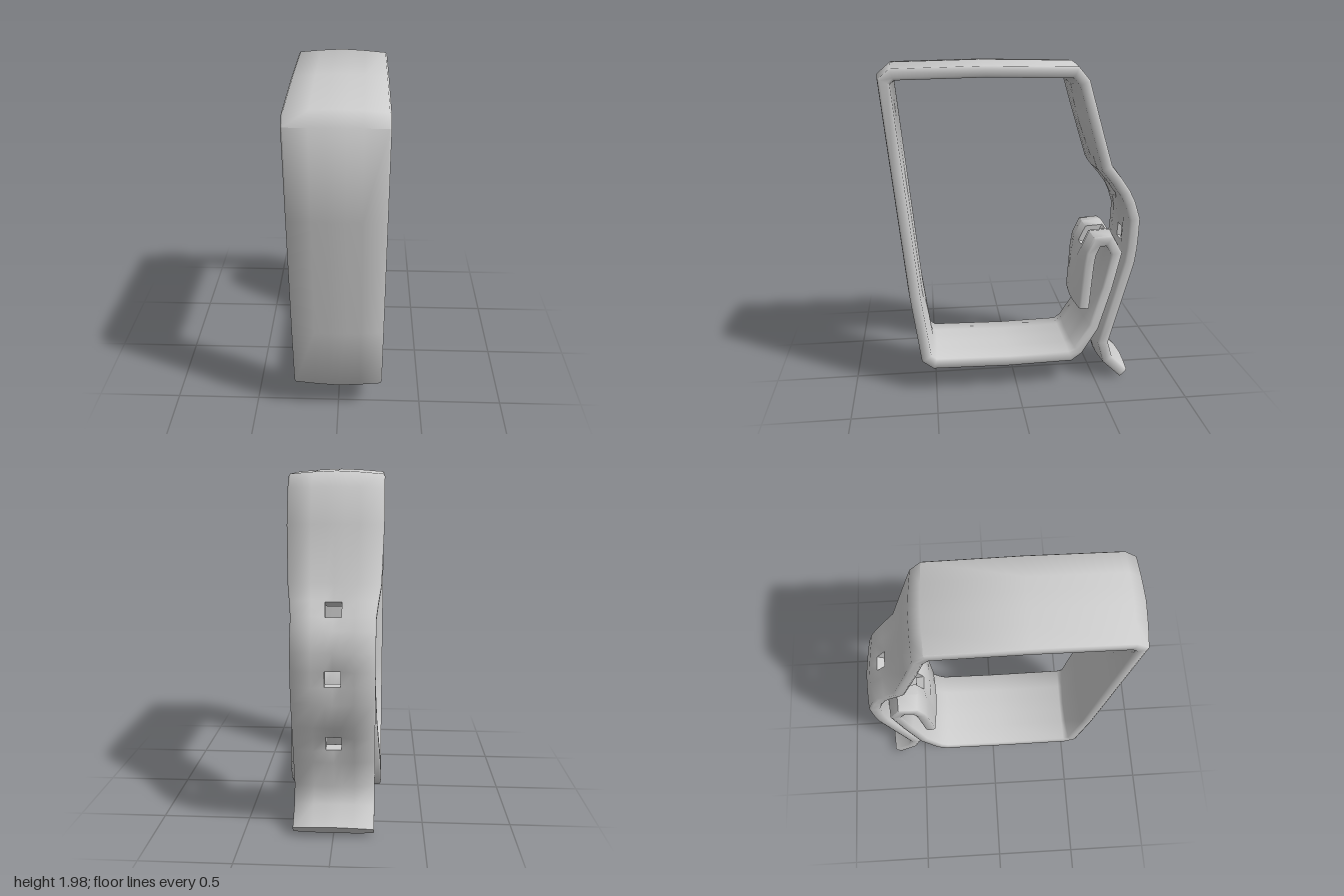
import * as THREE from 'three';
import { toCreasedNormals } from 'three/addons/utils/BufferGeometryUtils.js';

// Centre line of the strap: [z, y, half width, 1 = hole between this row and the next]
const PATH = [
  // folded hook with its notch
  [-0.42, 0.503, 0.21], [-0.44, 0.78, 0.22], [-0.452, 0.86, 0.22, 1], [-0.487, 0.935, 0.22, 1],
  [-0.563, 0.94, 0.22], [-0.608, 0.86, 0.225], [-0.555, 0.64, 0.235], [-0.475, 0.395, 0.255],
  // bottom
  [-0.38, 0.245, 0.262], [-0.33, 0.207, 0.262], [0.05, 0.198, 0.262], [0.505, 0.207, 0.262],
  // front
  [0.555, 0.245, 0.262], [0.61, 0.65, 0.262], [0.682, 1.4, 0.262], [0.73, 1.905, 0.262],
  // top
  [0.685, 1.943, 0.262], [0.18, 1.953, 0.262], [-0.325, 1.943, 0.262], [-0.375, 1.885, 0.262],
  // back, with three holes
  [-0.43, 1.7, 0.262], [-0.525, 1.39, 0.25], [-0.595, 1.305, 0.235, 1], [-0.645, 1.235, 0.225],
  [-0.678, 1.17, 0.225], [-0.71, 1.07, 0.225], [-0.707, 0.975, 0.225, 1], [-0.702, 0.89, 0.225],
  [-0.69, 0.8, 0.225], [-0.652, 0.66, 0.225], [-0.633, 0.59, 0.225, 1], [-0.611, 0.51, 0.225],
  [-0.592, 0.44, 0.225], [-0.545, 0.27, 0.225],
  // flared tail
  [-0.58, 0.15, 0.225], [-0.685, 0.05, 0.225],
];

// Cross-section: [position across the width, half thickness]
const SECTION = [
  [-1, 0.018], [-0.965, 0.031], [-0.5, 0.041], [-0.19, 0.045], [0, 0.047],
  [0.19, 0.045], [0.5, 0.041], [0.965, 0.031], [1, 0.018],
];

function strapGeometry(path, section) {
  const rows = path.length, cols = section.length, mid = (cols - 1) / 2;
  const pts = path.map(([z, y]) => new THREE.Vector2(z, y));
  const hole = (i) => i >= 0 && i < rows && path[i][3] === 1;
  const solid = (i, j) =>
    i >= 0 && j >= 0 && i < rows - 1 && j < cols - 1 &&
    !(hole(i) && (j === mid - 1 || j === mid));

  // Two layers of points, outer then inner, mitred at the bends
  const pos = [];
  for (const side of [1, -1]) {
    for (let i = 0; i < rows; i++) {
      const before = pts[i].clone().sub(pts[Math.max(i - 1, 0)]).normalize();
      const after = pts[Math.min(i + 1, rows - 1)].clone().sub(pts[i]).normalize();
      const dir = before.clone().add(after).normalize();
      const inner = i > 0 && i < rows - 1;
      const mitre = inner ? 1 / Math.max(0.75, dir.dot(after)) : 1;
      const rim = hole(i) || hole(i - 1);
      section.forEach(([u, t], j) => {
        // the strap thins towards a hole
        const thin = rim && Math.abs(j - mid) <= 1 ? 0.55 : 1;
        const d = side * t * thin * mitre;
        pos.push(u * path[i][2], pts[i].y - dir.x * d, pts[i].x + dir.y * d);
      });
    }
  }

  const index = [];
  const quad = (a, b, c, d) => index.push(a, b, c, a, c, d);
  const under = rows * cols;
  const at = (i, j) => i * cols + j;
  for (let i = 0; i < rows - 1; i++) {
    for (let j = 0; j < cols - 1; j++) {
      if (!solid(i, j)) continue;
      const c = [at(i, j), at(i, j + 1), at(i + 1, j + 1), at(i + 1, j)];
      quad(...c);
      quad(...c.map((k) => k + under).reverse());
      // walls along the borders, the ends and the holes
      [[i - 1, j], [i, j + 1], [i + 1, j], [i, j - 1]].forEach(([ni, nj], k) => {
        if (solid(ni, nj)) return;
        const a = c[k], b = c[(k + 1) % 4];
        quad(a, a + under, b + under, b);
      });
    }
  }
  const geometry = new THREE.BufferGeometry();
  geometry.setAttribute('position', new THREE.Float32BufferAttribute(pos, 3));
  geometry.setIndex(index);
  return toCreasedNormals(geometry, 1.1);
}

export function createModel() {
  const group = new THREE.Group();
  group.name = 'strapLoop';
  const strap = new THREE.Mesh(
    strapGeometry(PATH, SECTION),
    new THREE.MeshStandardMaterial({ color: 0xcccccc }),
  );
  strap.name = 'strap';
  group.add(strap);
  return group;
}
